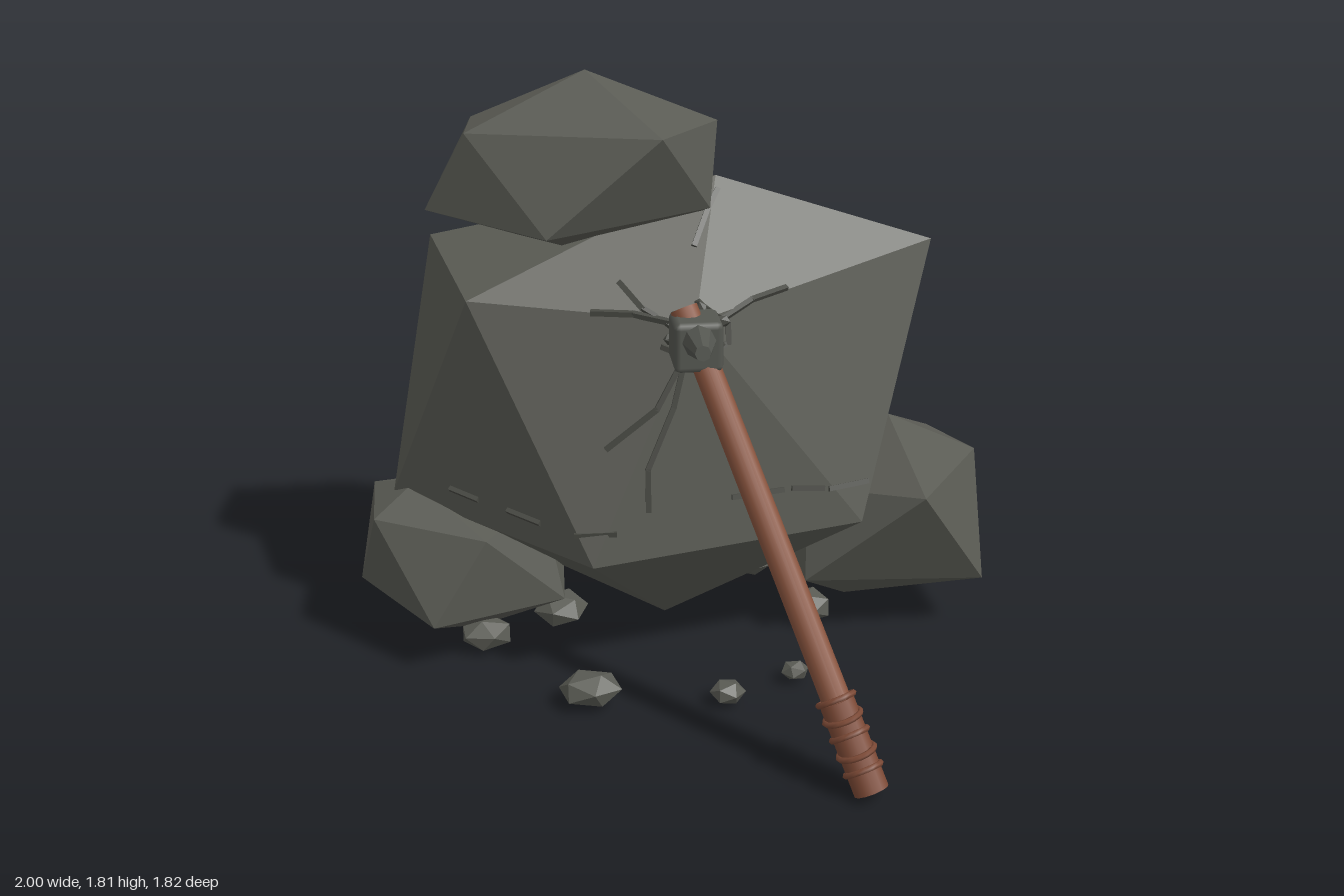
import * as THREE from 'three';
import { ConvexGeometry } from 'three/addons/geometries/ConvexGeometry.js';
import { RoundedBoxGeometry } from 'three/addons/geometries/RoundedBoxGeometry.js';

const V = (x, y, z) => new THREE.Vector3(x, y, z);
const mat = (name, color) => {
  const m = new THREE.MeshStandardMaterial({ color });
  m.name = name;
  return m;
};
const UP = V(0, 1, 0);

// Place a part built along +y between two points
function between(mesh, a, b) {
  mesh.position.copy(a).add(b).multiplyScalar(0.5);
  mesh.quaternion.setFromUnitVectors(UP, b.clone().sub(a).normalize());
  return mesh;
}

// Faceted copy of a geometry
function faceted(geo) {
  const g = geo.index ? geo.toNonIndexed() : geo;
  g.computeVertexNormals();
  return g;
}

export function createModel() {
  const model = new THREE.Group();
  const rock = mat('rock grey', 0x5a5b54);
  const crackMat = mat('crack grey', 0x484943);
  const metal = mat('iron grey', 0x555751);
  const wood = mat('handle wood', 0x8a553f);
  const wrap = mat('grip leather', 0x7d4a36);

  const add = (name, geo, material, parent = model) => {
    const m = new THREE.Mesh(geo, material);
    m.name = name;
    parent.add(m);
    return m;
  };

  // Boulders: distorted icosahedra, flattened at the back
  const top = V(0.14, 1.485, -0.3), farLeft = V(-0.73, 1.265, -0.52), nearLeft = V(-0.63, 1.205, -0.02);
  const hit = V(0.03, 1.15, 0.085), right = V(0.82, 1.26, -0.3), lowFront = V(-0.29, 0.435, 0.21);
  const lowRight = V(0.56, 0.45, 0.02), lowLeft = V(-0.88, 0.49, -0.31);
  add('mainBoulder', new ConvexGeometry([
    top, farLeft, nearLeft, hit, right, lowFront, lowRight, lowLeft,
    V(0.21, 1.22, -0.52), V(0.66, 0.41, -0.52), V(-0.24, 0.35, -0.52), V(-0.02, 0.01, -0.3),
  ]), rock);
  add('topBoulder', new ConvexGeometry([
    V(-0.25, 1.81, -0.33),
    V(-0.05, 1.66, -0.04), V(0.15, 1.645, -0.34), V(-0.15, 1.66, -0.5), V(-0.59, 1.64, -0.5), V(-0.615, 1.65, -0.235),
    V(-0.39, 1.37, -0.05), V(0.11, 1.41, -0.2), V(0.05, 1.44, -0.5), V(-0.37, 1.42, -0.5), V(-0.74, 1.4, -0.32),
    V(-0.27, 1.25, -0.33),
  ]), rock);
  add('rightBoulder', new ConvexGeometry([
    V(0.705, 0.68, -0.29),
    V(0.74, 0.55, 0.095), V(1.0, 0.54, -0.3), V(0.89, 0.55, -0.5), V(0.52, 0.55, -0.5), V(0.42, 0.5, -0.15),
    V(0.98, 0.19, -0.06), V(0.4, 0.22, -0.05), V(0.36, 0.22, -0.4), V(0.65, 0.18, -0.5), V(0.97, 0.2, -0.45),
    V(0.58, 0.045, -0.29),
  ]), rock);
  add('leftBoulder', new ConvexGeometry([
    V(-0.81, 0.525, -0.3),
    V(-0.94, 0.47, -0.14), V(-0.6, 0.44, 0), V(-0.42, 0.45, -0.3), V(-0.5, 0.48, -0.5), V(-0.95, 0.44, -0.5),
    V(-1, 0.185, -0.32), V(-0.77, 0.17, 0.03), V(-0.36, 0.18, -0.1), V(-0.34, 0.2, -0.5), V(-0.76, 0.11, -0.5),
    V(-0.62, 0.025, -0.25),
  ]), rock);

  // Pebbles: x, z, radius, height
  const pebbles = new THREE.Group();
  pebbles.name = 'pebbles';
  model.add(pebbles);
  [
    [-0.41, -0.83, 0.052, 0.06], [-0.22, -0.87, 0.052, 0.06], [0.1, -0.77, 0.108, 0.14],
    [0.3, -0.53, 0.08, 0.1], [0.49, -0.54, 0.08, 0.1], [-0.31, 0.265, 0.1, 0.1],
    [0.325, 0.2, 0.045, 0.06], [0.1, 0.31, 0.055, 0.07], [0.44, -0.18, 0.08, 0.1],
    [-0.365, -0.25, 0.09, 0.11], [-0.61, -0.12, 0.09, 0.1],
  ].forEach(([x, z, r, h], i) => {
    const g = new THREE.IcosahedronGeometry(1);
    g.rotateY(i * 1.7).rotateX(0.3 * Math.sin(i * 2.3)).scale(r, h / 1.9, r * (0.88 + 0.1 * Math.sin(i)));
    const m = add('pebble', faceted(g), rock, pebbles);
    m.position.set(x, 0.015 + h / 2, z);
  });

  // Depth of the main boulder's front at (x, y)
  const planes = [
    [nearLeft, lowFront, hit], [hit, lowFront, lowRight], [hit, lowRight, right],
    [hit, right, top], [nearLeft, hit, top], [lowLeft, lowFront, nearLeft],
  ].map((t) => new THREE.Plane().setFromCoplanarPoints(...t));
  const onFace = (x, y) => V(x, y, Math.min(...planes.map(
    ({ normal: n, constant: c }) => -(c + n.x * x + n.y * y) / n.z)));

  // Cracks radiating from the blow, and scattered seams
  const cracks = new THREE.Group();
  cracks.name = 'cracks';
  model.add(cracks);
  [
    [-0.27, 1.175, -0.15, 1.17, -0.05, 1.15], [-0.18, 1.24, -0.12, 1.18, -0.03, 1.13],
    [0.32, 1.195, 0.21, 1.18, 0.08, 1.13], [-0.24, 0.785, -0.09, 0.9, 0, 1.06],
    [-0.12, 0.59, -0.12, 0.72, -0.04, 0.9, 0, 1.06], [0.15, 0.83, 0.07, 0.97, 0.02, 1.06],
    [0.05, 1.32, 0.1, 1.4, 0.14, 1.45], [0.06, 1.18, 0.13, 1.13, 0.13, 1.07],
    [-0.07, 1.08, 0.02, 1.04, 0.12, 1.07],
    [-0.7, 0.56, -0.62, 0.55], [-0.53, 0.545, -0.44, 0.535], [-0.34, 0.53, -0.22, 0.535],
    [0.14, 0.595, 0.3, 0.595], [0.33, 0.595, 0.43, 0.58], [0.45, 0.575, 0.58, 0.57],
  ].forEach((p) => {
    for (let i = 0; i + 3 < p.length; i += 2) {
      const a = onFace(p[i], p[i + 1]), b = onFace(p[i + 2], p[i + 3]);
      between(add('crack', new THREE.BoxGeometry(0.016, a.distanceTo(b) + 0.006, 0.016), crackMat, cracks), a, b);
    }
  });

  // Broken chips around the blow
  for (let i = 0; i < 6; i++) {
    const a = i * 1.05 + 0.3;
    const chip = add('chip', faceted(new THREE.IcosahedronGeometry(0.028)), crackMat, cracks);
    chip.position.copy(onFace(0.035 + 0.075 * Math.cos(a), 1.12 + 0.06 * Math.sin(a)));
    chip.rotation.set(i, i * 2, 0);
    chip.scale.set(1.2, 0.7, 0.6);
  }

  // Pickaxe: handle, wrapped grip, then the head
  const pick = new THREE.Group();
  pick.name = 'pickaxe';
  model.add(pick);
  const foot = V(0.42, 0.03, 0.855), tip = V(-0.03, 1.26, 0.28);
  const at = (t) => foot.clone().lerp(tip, t);
  const rod = (name, t0, t1, r0, r1, material) => between(
    add(name, new THREE.CylinderGeometry(r1, r0, at(t0).distanceTo(at(t1)), 12), material, pick), at(t0), at(t1));
  rod('handle', 0, 1, 0.042, 0.039, wood);
  rod('grip', 0, 0.185, 0.05, 0.05, wrap);
  for (let i = 0; i < 5; i++) {
    const band = add('gripBand', new THREE.TorusGeometry(0.052, 0.009, 6, 16).rotateX(Math.PI / 2 + (i % 2 ? 0.16 : -0.1)), wrap, pick);
    between(band, at(0.03 + i * 0.036), at(0.06 + i * 0.036));
  }

  const block = add('headBlock', new RoundedBoxGeometry(0.138, 0.145, 0.145, 1, 0.018), metal, pick);
  block.position.set(0, 1.175, 0.315);
  const spike = (name, a, b, r0, r1) => between(
    add(name, faceted(new THREE.CylinderGeometry(r1, r0, a.distanceTo(b), 8)), metal, pick), a, b);
  spike('frontSpike', V(0, 1.195, 0.37), V(-0.01, 1.217, 0.535), 0.05, 0.022);
  spike('rearSpike', V(0, 1.175, 0.26), V(0.025, 1.125, 0.02), 0.052, 0.018);
  return model;
}
